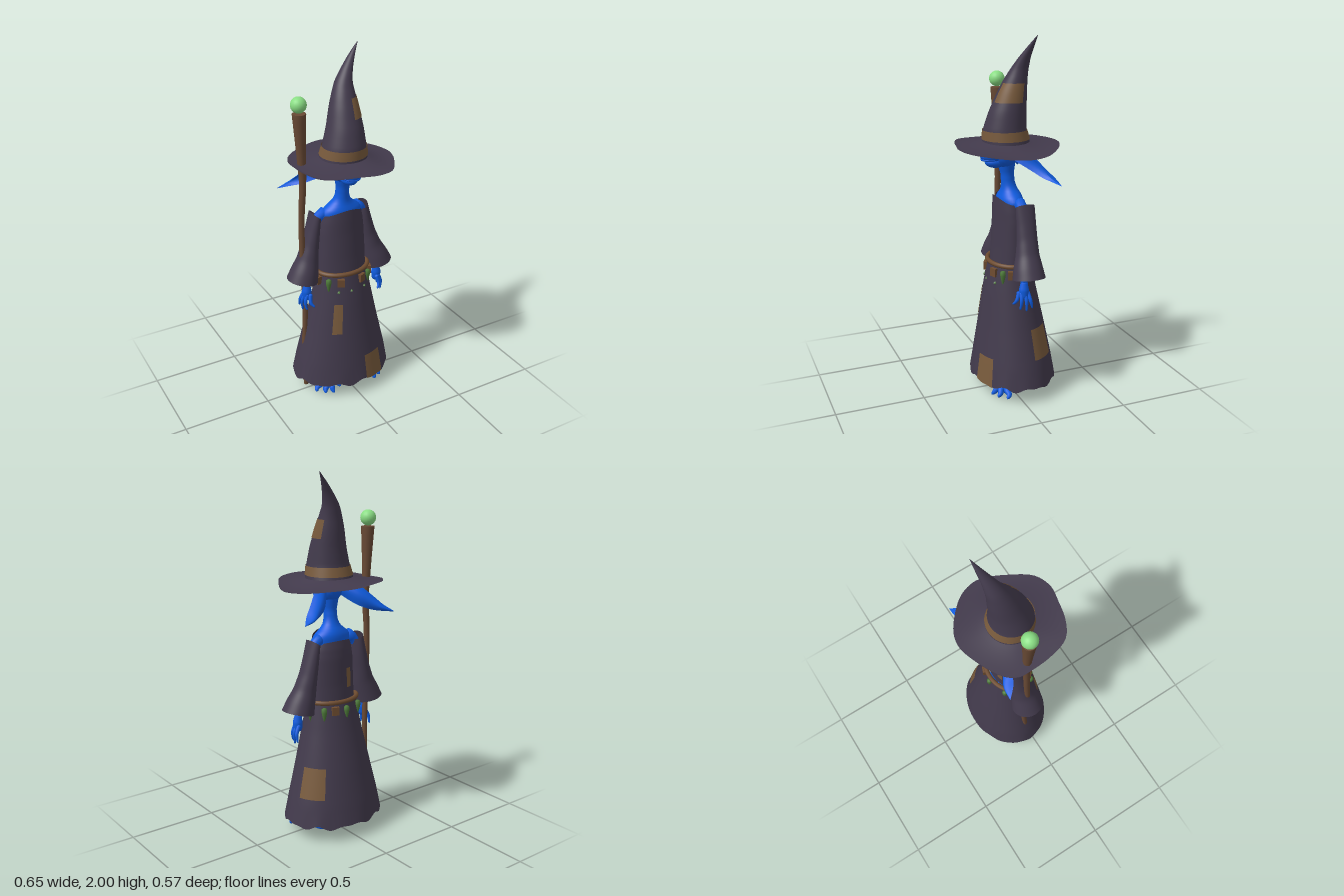
import * as THREE from 'three';
import { mergeVertices } from 'three/addons/utils/BufferGeometryUtils.js';

const mat = (name, color, side = THREE.FrontSide) => {
  const m = new THREE.MeshStandardMaterial({ color, side });
  m.name = name;
  return m;
};

// Drops seams so normals run smoothly all round
function smooth(geo) {
  geo.deleteAttribute('uv');
  geo.deleteAttribute('normal');
  const g = mergeVertices(geo, 1e-5);
  g.computeVertexNormals();
  return g;
}

// Grid surface from a rule f(u, v) -> [x, y, z]
function sheet(f, nu, nv) {
  const pos = [], idx = [], w = nu + 1;
  for (let j = 0; j <= nv; j++) for (let i = 0; i <= nu; i++) pos.push(...f(i / nu, j / nv));
  for (let j = 0; j < nv; j++) for (let i = 0; i < nu; i++) {
    const a = j * w + i;
    idx.push(a, a + 1, a + w + 1, a, a + w + 1, a + w);
  }
  const g = new THREE.BufferGeometry();
  g.setAttribute('position', new THREE.Float32BufferAttribute(pos, 3));
  g.setIndex(idx);
  return smooth(g);
}

// Elliptical cloth or body through rings [y, cx, cz, rx, rz]; angle 0 faces front
function loft(rings, shift = () => 0) {
  const curves = [1, 2, 3, 4].map(k => y => {
    let i = 0;
    while (i < rings.length - 2 && y > rings[i + 1][0]) i++;
    const a = rings[i], b = rings[i + 1];
    return a[k] + (b[k] - a[k]) * (y - a[0]) / (b[0] - a[0]);
  });
  const y0 = rings[0][0], y1 = rings[rings.length - 1][0];
  return (from = 0, to = 360, lo = y0, hi = y1, out = 0, nu = 48, nv = 24) => sheet((u, v) => {
    const a = THREE.MathUtils.degToRad(from + (to - from) * u), y = lo + (hi - lo) * v;
    const [cx, cz, rx, rz] = curves.map(c => c(y));
    return [cx + (rx + out) * Math.sin(a), y + shift(a, y), cz + (rz + out) * Math.cos(a)];
  }, nu, nv);
}

// Tapered limb through points [x, y, z, radius]; ends close unless open
function limb(pts, open = false, n = 16, sides = 10) {
  const curve = new THREE.CatmullRomCurve3(pts.map(p => new THREE.Vector3(p[0], p[1], p[2])));
  const g = new THREE.TubeGeometry(curve, n, 1, sides), p = g.attributes.position, v = new THREE.Vector3();
  for (let i = 0; i <= n; i++) {
    const c = curve.getPointAt(i / n), t = curve.getUtoTmapping(i / n) * (pts.length - 1);
    const k = Math.min(Math.floor(t), pts.length - 2);
    const r = !open && (i === 0 || i === n) ? 0.0005 : THREE.MathUtils.lerp(pts[k][3], pts[k + 1][3], t - k);
    for (let j = 0; j <= sides; j++) {
      const q = i * (sides + 1) + j;
      v.fromBufferAttribute(p, q).sub(c).multiplyScalar(r).add(c);
      p.setXYZ(q, v.x, v.y, v.z);
    }
  }
  return smooth(g);
}

export function createModel() {
  const cloth = mat('dark cloth', 0x423a4c, THREE.DoubleSide);
  const patch = mat('patch cloth', 0x785a3c, THREE.DoubleSide);
  const skin = mat('blue skin', 0x0f5ce0, THREE.DoubleSide);
  const wood = mat('staff wood', 0x684934, THREE.DoubleSide);
  const leather = mat('leather', 0x6e4c30);
  const leaf = mat('green vial', 0x4c7838);
  const glow = mat('pale green orb', 0x8ade84);

  const model = new THREE.Group();
  const add = (name, geo, m, x = 0, y = 0, z = 0) => {
    const mesh = new THREE.Mesh(geo, m);
    mesh.name = name;
    mesh.position.set(x, y, z);
    model.add(mesh);
    return mesh;
  };

  // Hat cone, band and patch
  const hat = loft([[1.425, 0, 0, .132, .13], [1.5, .002, .01, .117, .117], [1.6, .012, -.003, .097, .1],
    [1.7, .019, -.026, .077, .08], [1.76, .025, -.041, .062, .064], [1.82, .036, -.06, .046, .048],
    [1.88, .066, -.076, .031, .032], [1.94, .105, -.095, .017, .017], [2, .15, -.113, .001, .001]]);
  add('hatCone', hat(), cloth);
  add('hatBand', hat(0, 360, 1.45, 1.5, .004, 48, 2), patch);
  add('hatPatch', hat(8, 115, 1.65, 1.75, .003, 16, 5), patch);

  // Floppy brim with an uneven outline
  const outline = [[.05, .285], [.15, .25], [.24, .13], [.285, .04], [.298, -.03], [.27, -.12], [.2, -.2], [.1, -.27],
    [.02, -.285], [-.1, -.25], [-.22, -.185], [-.268, -.12], [-.272, -.03], [-.262, .08], [-.225, .19], [-.14, .245], [-.04, .27]];
  const edge = new THREE.CatmullRomCurve3(outline.map(([x, z]) => new THREE.Vector3(x, 0, z)), true);
  const brim = (drop, flip) => sheet((u, v) => {
    const e = edge.getPoint(u), a = Math.atan2(e.x, e.z), r = flip ? 1 - v : v;
    const rimY = 1.415 - .01 * Math.sin(a) + .01 * Math.cos(2 * a) + drop * .1;
    const s = 1 - r;
    return [e.x * s + .115 * Math.sin(a) * r, rimY + (1.44 - rimY) * r * r - drop * Math.sin(Math.PI * (.15 + .7 * r)),
      e.z * s + .115 * Math.cos(a) * r];
  }, 68, 6);
  add('hatBrimTop', brim(0, false), cloth);
  add('hatBrimUnderside', brim(.02, true), cloth);

  // Shoulders, neck and head
  add('neckAndShoulders', loft([[.95, 0, -.02, .1, .06], [1.08, 0, -.02, .118, .065], [1.125, 0, -.02, .115, .065],
    [1.15, 0, -.02, .08, .055], [1.175, 0, -.016, .05, .044], [1.21, 0, -.01, .038, .038],
    [1.26, 0, -.005, .037, .037], [1.32, 0, 0, .05, .05]])(), skin);
  const ball = (name, m, x, y, z, rx, ry, rz) =>
    add(name, new THREE.SphereGeometry(1, 24, 16), m, x, y, z).scale.set(rx, ry, rz);
  ball('head', skin, 0, 1.375, .01, .08, .085, .075);
  ball('snout', skin, 0, 1.365, .08, .056, .042, .07);
  ball('jaw', skin, 0, 1.327, .06, .045, .034, .062);
  ball('nose', skin, 0, 1.385, .135, .022, .02, .02);
  add('mouth', limb([[-.05, 1.34, .08, .004], [-.03, 1.343, .125, .006], [0, 1.342, .14, .006],
    [.03, 1.343, .125, .006], [.05, 1.34, .08, .004]]), skin);

  // Robe: bodice, skirt and sewn patches
  const bodice = loft([[.75, 0, -.015, .142, .1], [.85, 0, -.015, .139, .093], [1, 0, -.017, .131, .088],
    [1.08, 0, -.015, .123, .085], [1.14, 0, -.012, .113, .08]],
  (a, y) => -Math.max(0, y - 1) * .28 * Math.sin(a) ** 2 - Math.max(0, y - 1) * .3 * Math.max(0, -Math.cos(a)));
  add('bodice', bodice(), cloth);
  add('bodicePatch', bodice(196, 211, .83, .94, .003, 4, 4), patch);
  const skirt = loft([[.085, 0, -.035, .295, .235], [.2, 0, -.033, .271, .217], [.4, 0, -.027, .222, .182],
    [.6, 0, -.019, .176, .146], [.77, 0, -.016, .142, .114]],
  (a, y) => Math.max(0, 1 - (y - .085) / .1) * (.008 * Math.sin(9 * a) + .006 * Math.sin(14 * a + 1)));
  add('skirt', skirt(0, 360, .085, .77, 0, 96), cloth);
  for (const [from, to, lo, hi] of [[-38, -22, .41, .59], [9.5, 36, .085, .24], [100, 138, .24, .41]])
    add('skirtPatch', skirt(from, to, lo, hi, .003, 10, 10), patch);

  // Rope belt with hanging pouches and vials
  const around = (deg, k = 1) => {
    const a = THREE.MathUtils.degToRad(deg);
    return [.153 * k * Math.sin(a), -.018 + .117 * k * Math.cos(a)];
  };
  const loop = [];
  for (let i = 0; i < 24; i++) {
    const [x, z] = around(i * 15);
    loop.push(new THREE.Vector3(x, .764, z));
  }
  add('belt', new THREE.TubeGeometry(new THREE.CatmullRomCurve3(loop, true), 72, .013, 8, true), leather);
  for (const d of [-24, 23, -82, 68, 158]) {
    const [x, z] = around(d, 1.06);
    add('pouch', new THREE.BoxGeometry(.04, .046, .026), leather, x, .72, z).rotation.y = THREE.MathUtils.degToRad(d);
  }
  const drop = [[0, -.085], [.008, -.06], [.016, -.025], [.015, -.005], [.008, 0], [0, 0]].map(p => new THREE.Vector2(...p));
  for (const d of [-50, 47, 100, 135, 183, 225]) {
    const [x, z] = around(d, 1.08);
    add('vial', new THREE.LatheGeometry(drop, 10), leaf, x, .74, z);
  }
  for (const d of [-28, -3, 28]) {
    const [x, z] = around(d, 1.13);
    add('charm', new THREE.OctahedronGeometry(.011), leaf, x, .662, z);
  }

  // Paired parts: ears, eyes, arms, sleeves, hands, legs and feet
  for (const s of [1, -1]) {
    const side = s > 0 ? 'left' : 'right';
    const part = (name, pts) => add(side + name, limb(pts.map(([x, y, z, r]) => [s * x, y, z, r])), skin);

    const rail = pts => new THREE.CatmullRomCurve3(pts.map(p => new THREE.Vector3(s * p[0], p[1], p[2])));
    const top = rail([[.05, 1.425, -.01], [.14, 1.39, -.065], [.22, 1.315, -.12], [.26, 1.275, -.145], [.3, 1.24, -.188]]);
    const back = rail([[.04, 1.38, -.06], [.11, 1.36, -.14], [.18, 1.3, -.19], [.23, 1.265, -.215], [.3, 1.238, -.19]]);
    const low = rail([[.05, 1.34, -.02], [.11, 1.285, -.1], [.18, 1.255, -.14], [.23, 1.245, -.165], [.3, 1.236, -.188]]);
    add(side + 'Ear', sheet((u, v) => {
      const a = top.getPoint(u), b = back.getPoint(u), c = low.getPoint(u);
      return a.multiplyScalar((1 - v) ** 2).addScaledVector(b, 2 * v * (1 - v)).addScaledVector(c, v * v).toArray();
    }, 16, 8), skin);
    ball(side + 'Eye', leather, s * .068, 1.405, .045, .022, .018, .022);

    part('Arm', [[.07, 1.115, -.03, .035], [.105, 1.108, -.035, .034], [.147, 1.06, -.045, .025], [.165, .95, -.045, .024],
      [.205, .8, -.03, .02], [.222, .72, -.015, .018], [.226, .67, -.012, .02]]);
    add(side + 'Sleeve', loft([[.725, s * .24, -.035, .086, .09], [.78, s * .222, -.037, .074, .08], [.84, s * .2, -.042, .058, .066],
      [.92, s * .181, -.048, .044, .058], [1, s * .165, -.05, .036, .055], [1.1, s * .147, -.05, .025, .054]],
    a => .018 * s * Math.sin(a))(), cloth);

    // Hand and slender fingers
    part('Palm', [[.224, .71, -.014, .017], [.227, .66, -.012, .028], [.228, .625, -.012, .026], [.229, .605, -.012, .018]]);
    for (const [x0, z0, x1, y1, z1] of [[.215, .012, .205, .575, .045], [.228, .004, .24, .55, .015],
      [.232, -.014, .25, .54, -.018], [.23, -.03, .255, .555, -.05]])
      part('Finger', [[x0, .65, z0, .012], [(x0 + x1) / 2 + .012, .6, (z0 + z1) / 2, .01], [x1, y1, z1, .005]]);

    // Leg, foot and splayed toes
    part('Leg', [[.09, .6, -.02, .045], [.11, .4, -.015, .042], [.125, .26, -.04, .036], [.12, .12, -.07, .025], [.12, .04, -.06, .026]]);
    part('Foot', [[.118, .035, -.11, .016], [.12, .035, -.07, .026], [.13, .04, 0, .028], [.14, .038, .06, .03], [.143, .034, .085, .02]]);
    for (const [x, z] of [[.075, .11], [.14, .145], [.185, .125], [.225, .085]])
      part('Toe', [[.138, .04, .03, .018], [(x + .138) / 2, .05, z * .7 + .01, .017], [x * .8 + .028, .034, z - .02, .016], [x, .018, z, .007]]);
  }

  // Crooked staff with a glowing orb
  add('staff', limb([[-.23, 0, -.04, .014], [-.235, .25, -.038, .015], [-.222, .55, -.045, .015], [-.236, .85, -.035, .016],
    [-.233, 1.1, -.042, .017], [-.222, 1.3, -.04, .019], [-.228, 1.5, -.04, .026], [-.233, 1.69, -.04, .037]], true, 40, 12), wood);
  add('staffCap', new THREE.CylinderGeometry(.037, .037, .008, 12), wood, -.233, 1.69, -.04);
  add('orb', new THREE.SphereGeometry(.043, 20, 14), glow, -.235, 1.74, -.04);

  return model;
}
